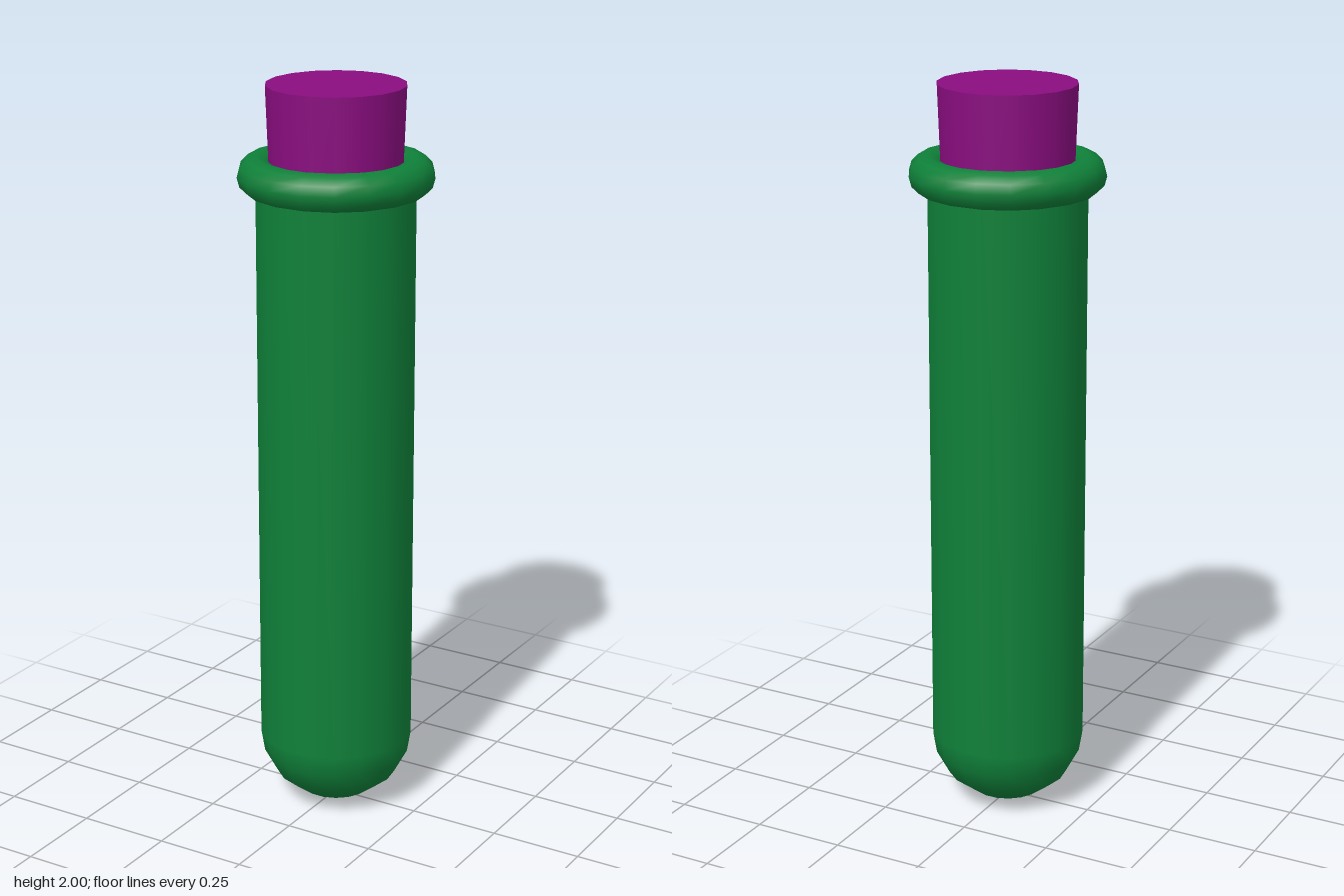
import * as THREE from 'three';

const SIDES = 18;

export function createModel() {
  const model = new THREE.Group();
  const glass = new THREE.MeshStandardMaterial({ color: 0x0f8039, side: THREE.DoubleSide });
  const cork = new THREE.MeshStandardMaterial({ color: 0x8a0d80 });

  const add = (name, geometry, material, y = 0) => {
    const mesh = new THREE.Mesh(geometry, material);
    mesh.name = name;
    mesh.position.y = y;
    model.add(mesh);
  };

  // Straight tube with a rounded bottom, open at the top
  const profile = [
    [0, 0], [0.1, 0.025], [0.165, 0.075], [0.2, 0.14], [0.21, 0.2], [0.21, 1.77],
  ].map(([r, y]) => new THREE.Vector2(r, y));
  add('tube', new THREE.LatheGeometry(profile, SIDES, Math.PI / 2), glass);

  // Rolled rim around the mouth
  const rim = new THREE.TorusGeometry(0.208, 0.05, 12, SIDES);
  rim.rotateX(Math.PI / 2);
  add('rim', rim, glass, 1.765);

  // Slightly tapered stopper reaching down into the mouth
  add('stopper', new THREE.CylinderGeometry(0.183, 0.172, 0.3, SIDES, 1, false, Math.PI / 2), cork, 1.85);

  return model;
}
